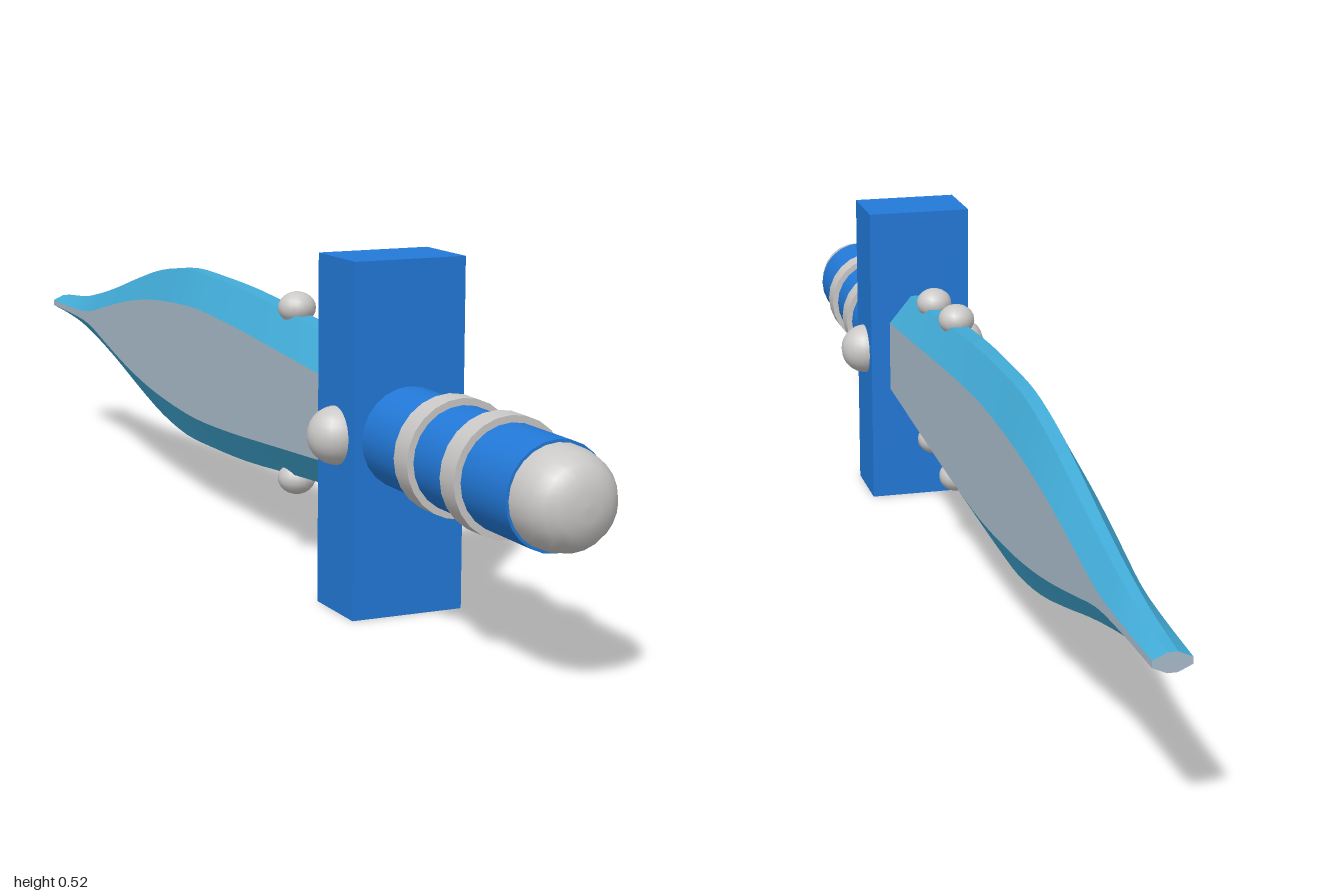
import * as THREE from 'three';
import { toCreasedNormals } from 'three/addons/utils/BufferGeometryUtils.js';

const MID = 0.262; // height of the sword's long axis

function material(name, color) {
  const m = new THREE.MeshStandardMaterial({ color });
  m.name = name;
  return m;
}

export function createModel() {
  const blue = material('hilt blue', 0x2279d8);
  const metal = material('stud grey', 0xcbc9c7);
  const edgeBlue = material('blade edge blue', 0x42acd8);
  const panelGrey = material('blade panel grey', 0xa9bbca);

  const group = new THREE.Group();
  group.name = 'sword';
  function add(name, geometry, mat, x, y, z) {
    const mesh = new THREE.Mesh(geometry, mat);
    mesh.name = name;
    mesh.position.set(x, y, z);
    group.add(mesh);
    return mesh;
  }

  // Cross guard
  add('guard', new THREE.BoxGeometry(0.176, 0.52, 0.12), blue, 0, 0.26, 0.45);

  // Grip with two raised bands
  const rod = (r, len) => new THREE.CylinderGeometry(r, r, len, 24).rotateX(Math.PI / 2);
  add('grip', rod(0.075, 0.42), blue, 0, MID, 0.715);
  for (const z of [0.65, 0.785]) add('gripBand', rod(0.085, 0.04), metal, 0, MID, z);

  // Rounded pommel
  const profile = [[0.071, 0], [0.07, 0.02], [0.065, 0.042], [0.054, 0.06], [0.038, 0.07], [0.02, 0.075], [0, 0.076]]
    .map(([r, h]) => new THREE.Vector2(r, h));
  add('pommel', new THREE.LatheGeometry(profile, 24).rotateX(Math.PI / 2), metal, 0, MID, 0.924);

  // Studs on the guard and along both blade edges
  for (const s of [-1, 1]) {
    add('guardStud', new THREE.SphereGeometry(0.043, 20, 14), metal, s * 0.087, MID, 0.45);
    for (const [z, y] of [[0.28, 0.123], [0.12, 0.137]]) {
      const stud = add('bladeStud', new THREE.SphereGeometry(0.03, 16, 12), metal, 0, MID + s * y, z);
      stud.scale.y = 0.85;
    }
  }

  // Blade stations: z, half height, panel half height
  const stations = [
    [0.4, 0.107, 0.06], [0.15, 0.126, 0.077], [-0.05, 0.142, 0.09], [-0.2, 0.147, 0.095],
    [-0.32, 0.147, 0.09], [-0.44, 0.131, 0.079], [-0.56, 0.102, 0.06], [-0.68, 0.069, 0.034],
    [-0.78, 0.045, 0.012], [-0.88, 0.026, 0.006], [-1, 0.014, 0.005],
  ];
  const curve = new THREE.CatmullRomCurve3(stations.map(([z, h, p]) => new THREE.Vector3(z, h, p)));
  const STEPS = 30;
  const rings = [];
  for (let i = 0; i <= STEPS; i++) {
    const { x: z, y: h, z: p } = curve.getPoint(i / STEPS);
    const t = (0.4 - z) / 1.4;
    const w = THREE.MathUtils.lerp(0.055, 0.027, t);
    const e = THREE.MathUtils.lerp(0.016, 0.007, t);
    // Eight corners, counter-clockwise seen from the front
    rings.push([[w, -p], [w, p], [e, h], [-e, h], [-w, p], [-w, -p], [-e, -h], [e, -h]]
      .map(([x, y]) => [x, y, z]));
  }

  // Skin the chosen sides of the octagonal section
  function skin(sides, withTip) {
    const pos = [];
    for (let i = 0; i < STEPS; i++) {
      for (const k of sides) {
        const n = (k + 1) % 8;
        const a = rings[i][k], b = rings[i][n], c = rings[i + 1][n], d = rings[i + 1][k];
        pos.push(...a, ...d, ...b, ...b, ...d, ...c);
      }
    }
    if (withTip) {
      const r = rings[STEPS];
      for (let k = 1; k < 7; k++) pos.push(...r[0], ...r[k + 1], ...r[k]);
    }
    const g = new THREE.BufferGeometry();
    g.setAttribute('position', new THREE.Float32BufferAttribute(pos, 3));
    return toCreasedNormals(g, 0.3);
  }
  add('bladeEdges', skin([1, 2, 3, 5, 6, 7], false), edgeBlue, 0, MID, 0);
  add('bladePanels', skin([0, 4], true), panelGrey, 0, MID, 0);

  return group;
}
